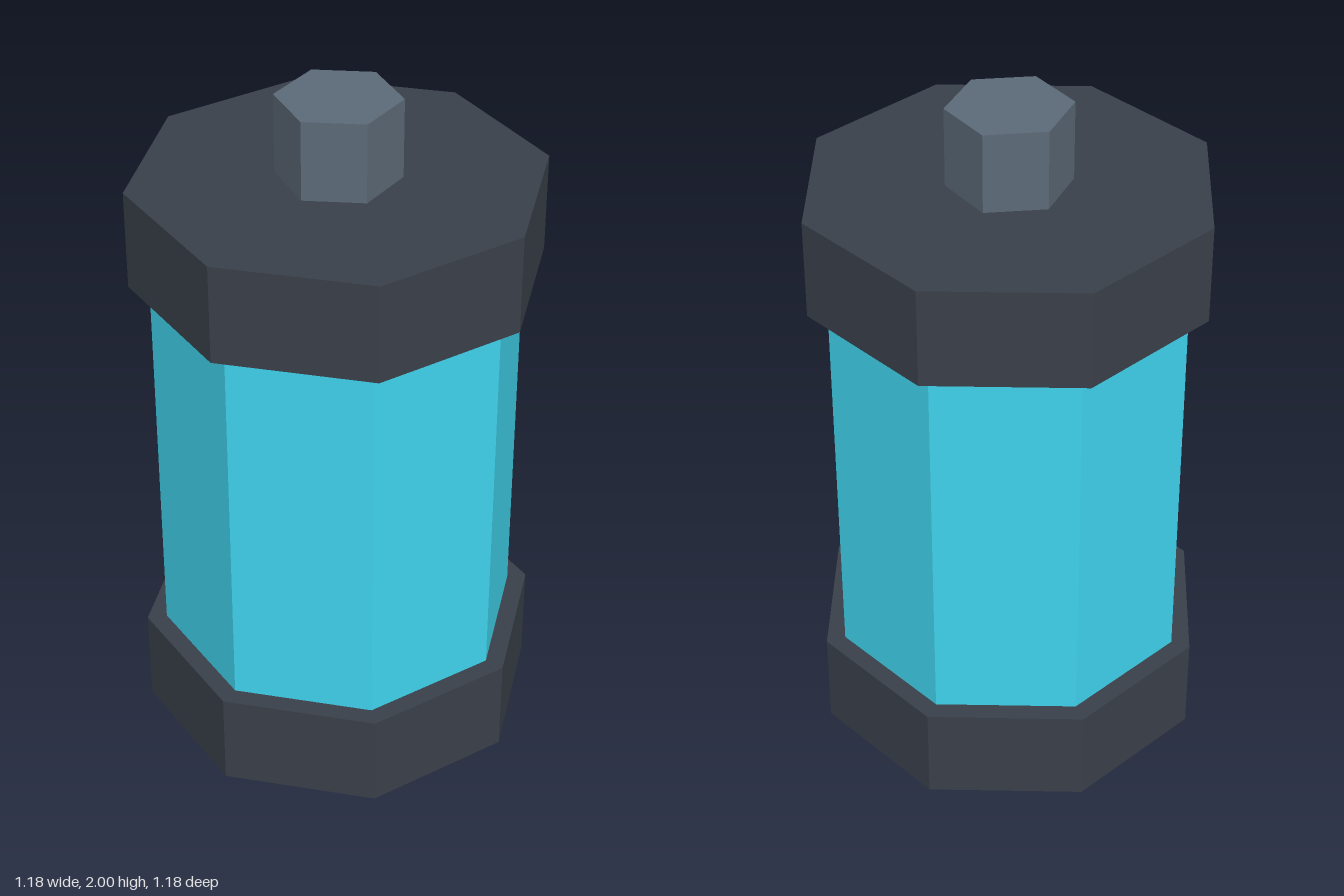
import * as THREE from 'three';

export function createModel() {
  const group = new THREE.Group();
  const material = (color) => new THREE.MeshStandardMaterial({ color, flatShading: true });
  const dark = material(0x3a404a);
  const cyan = material(0x40d4ee);
  const steel = material(0x5c6a78);

  // Upright prism between two heights, with one corner facing the front
  function prism(name, radius, bottom, top, sides, mat) {
    const mesh = new THREE.Mesh(
      new THREE.CylinderGeometry(radius, radius, top - bottom, sides), mat);
    mesh.name = name;
    mesh.position.y = (bottom + top) / 2;
    group.add(mesh);
  }

  // Octagonal end caps around the coloured body
  prism('bottomCap', 0.588, 0, 0.294, 8, dark);
  prism('body', 0.53, 0.294, 1.471, 8, cyan);
  prism('topCap', 0.588, 1.471, 1.765, 8, dark);

  // Hexagonal terminal on top
  prism('terminal', 0.176, 1.765, 2, 6, steel);

  return group;
}
